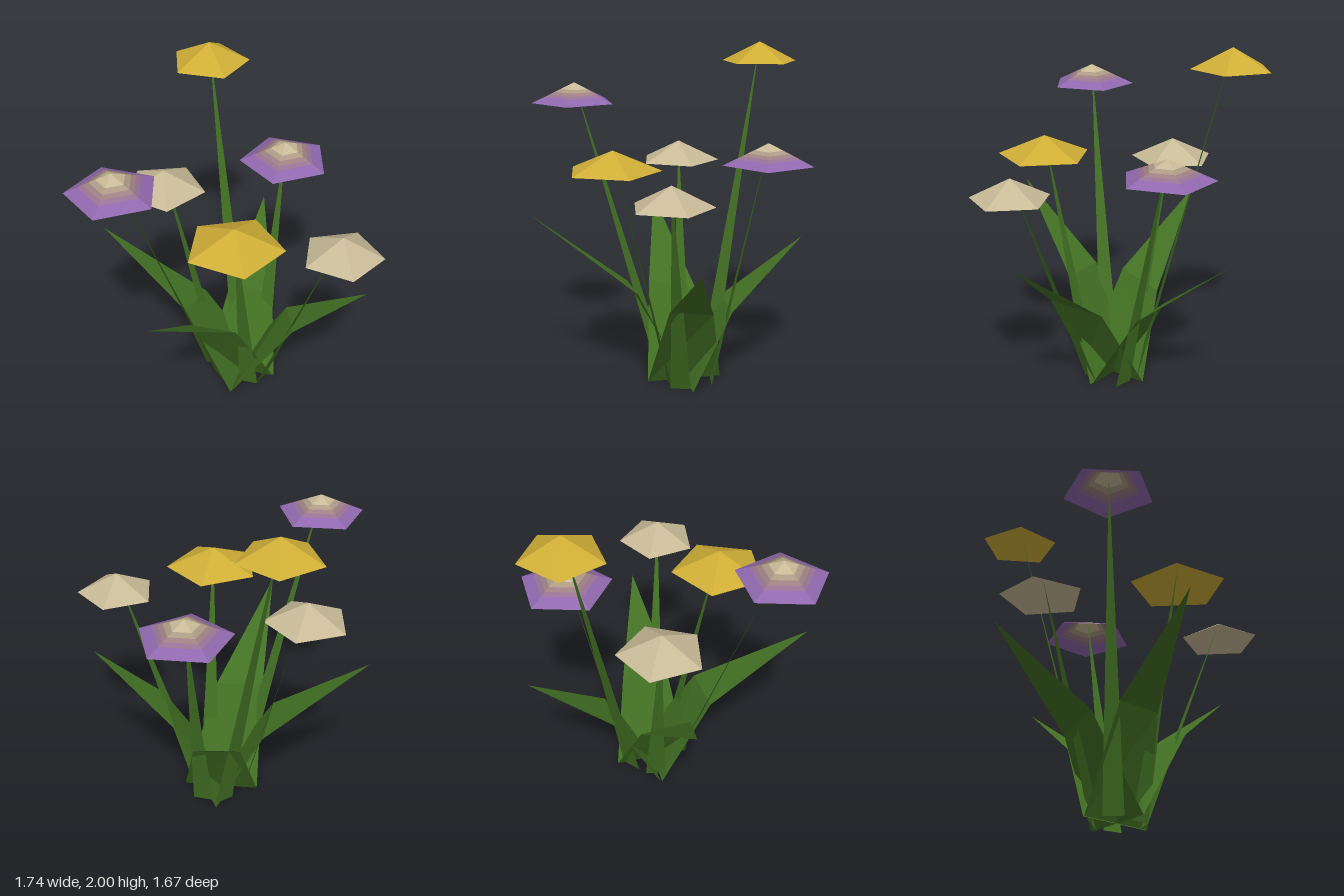
import * as THREE from 'three';

const material = (name, color) =>
  new THREE.MeshStandardMaterial({ name, color, flatShading: true, side: THREE.DoubleSide });

export function createModel() {
  const group = new THREE.Group();
  group.name = 'flowerClump';
  const green = material('leafGreen', 0x427023);
  const yellow = material('yellow', 0xcfae36);
  const tan = material('tan', 0xc8ba97);
  const purple = material('purple', 0x9068ae);
  const ring1 = material('greyTan', 0xac9a85);
  const ring2 = material('dustyBrown', 0x9d8082);
  const ring3 = material('mauve', 0x977393);

  const addMesh = (parent, name, geometry, mat) => {
    const mesh = new THREE.Mesh(geometry, mat);
    mesh.name = name;
    parent.add(mesh);
    return mesh;
  };

  // Flat blade from a strip of corner points
  const blade = (name, points, index) => {
    const g = new THREE.BufferGeometry();
    g.setAttribute('position', new THREE.Float32BufferAttribute(points.flat(), 3));
    g.setIndex(index);
    g.computeVertexNormals();
    addMesh(group, name, g, green);
  };

  // Bent leaves: wide base edge, narrower fold, pointed tip
  const leaves = {
    frontLeaf: [[-0.23, 0, -0.05], [0.22, 0, -0.05], [-0.23, 0.575, 0.25], [0.055, 0.575, 0.235], [-0.24, 1.02, 0.83]],
    rightLeaf: [[0, 0, 0.17], [0, 0, -0.28], [0.375, 0.56, 0.115], [0.26, 0.49, -0.17], [0.78, 0.885, 0.03]],
    backLeaf: [[0.22, 0, -0.06], [-0.23, 0, -0.06], [0.13, 0.45, -0.32], [-0.15, 0.47, -0.32], [-0.07, 0.84, -0.81]],
    leftLeaf: [[0, 0, -0.28], [0, 0, 0.17], [-0.27, 0.48, -0.19], [-0.31, 0.545, 0.1], [-0.87, 0.955, -0.04]],
  };
  for (const [name, pts] of Object.entries(leaves)) {
    blade(name, pts, [0, 1, 3, 0, 3, 2, 2, 3, 4]);
  }

  // Bands of a flower cap: [outer fraction of the radius, material]
  const ringed = [[0.32, tan], [0.46, ring1], [0.58, ring2], [0.7, ring3], [1, purple]];
  // Flowers: cap apex, radius, turn in degrees, bands, stem base (x, z)
  const flowers = [
    ['tallYellow', [-0.36, 2, -0.605], 0.236, 39, [[1, yellow]], [-0.04, -0.2]],
    ['frontYellow', [0.094, 1.445, 0.38], 0.28, 28, [[1, yellow]], [0.08, 0.05]],
    ['backPurple', [0.136, 1.46, -0.52], 0.274, 0, ringed, [0.09, -0.2]],
    ['frontPurple', [-0.53, 1.76, 0.512], 0.26, 0, ringed, [-0.11, 0.05]],
    ['leftTan', [-0.498, 1.385, -0.13], 0.25, 24, [[1, tan]], [-0.145, -0.07]],
    ['rightTan', [0.643, 1.35, 0.16], 0.234, 27, [[1, tan]], [0.15, 0]],
  ];
  const height = 0.12;
  for (const [name, apex, radius, turn, bands, [bx, bz]] of flowers) {
    const cap = new THREE.Group();
    cap.name = name + 'Cap';
    cap.position.set(...apex);
    let inner = 0;
    for (const [outer, mat] of bands) {
      const g = new THREE.CylinderGeometry(
        radius * inner, radius * outer, height * (outer - inner), 5, 1, true, THREE.MathUtils.degToRad(turn));
      g.translate(0, -height * (inner + outer) / 2, 0);
      addMesh(cap, 'capBand', g, mat);
      inner = outer;
    }
    group.add(cap);

    // Tapering ribbon stem, facing the way it leans
    const dx = apex[0] - bx, dz = apex[2] - bz;
    const k = 0.06 / Math.hypot(dx, dz);
    blade(name + 'Stem', [
      [bx + dz * k, 0, bz - dx * k],
      [bx - dz * k, 0, bz + dx * k],
      [apex[0], apex[1] - 0.005, apex[2]],
    ], [0, 2, 1]);
  }
  return group;
}
